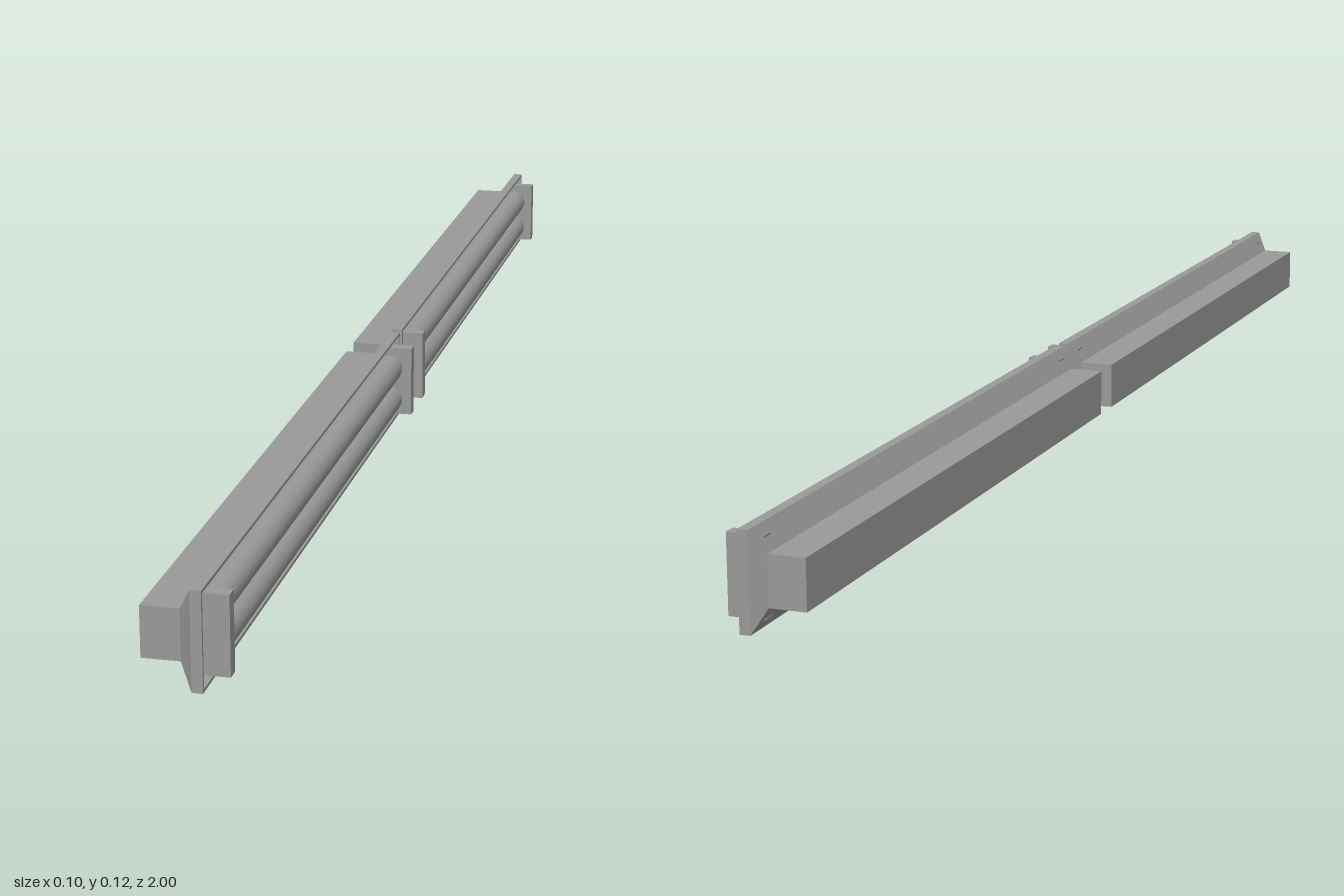
import * as THREE from 'three';

const metal = new THREE.MeshStandardMaterial({ color: 0x999999, side: THREE.DoubleSide });
metal.name = 'grey metal';

const MID_Y = 0.061;      // height of the fixture axis
const HALF_LENGTH = 0.4965;

function part(name, geometry, x, y, z) {
  const mesh = new THREE.Mesh(geometry, metal);
  mesh.name = name;
  mesh.position.set(x, y, z);
  return mesh;
}

// Open tray: rectangular rings [x, half height, half length] joined by flat walls
function trayGeometry(rings) {
  const corners = rings.map(([x, h, l]) => [[x, -h, -l], [x, h, -l], [x, h, l], [x, -h, l]]);
  const points = [];
  const quad = (a, b, c, d) => points.push(...a, ...b, ...c, ...a, ...c, ...d);
  for (let i = 0; i < rings.length - 1; i++) {
    for (let k = 0; k < 4; k++) {
      const n = (k + 1) % 4;
      quad(corners[i][k], corners[i + 1][k], corners[i + 1][n], corners[i][n]);
    }
  }
  quad(...corners[0]); // reflector floor
  const geometry = new THREE.BufferGeometry();
  geometry.setAttribute('position', new THREE.Float32BufferAttribute(points, 3));
  geometry.computeVertexNormals();
  return geometry;
}

function createFixture() {
  const fixture = new THREE.Group();
  fixture.name = 'lightFixture';

  // Ballast housing at the back
  fixture.add(part('housing', new THREE.BoxGeometry(0.046, 0.062, 0.963), -0.027, MID_Y, 0));

  // Flared reflector with an upright rim and a narrow inner lip
  const tray = trayGeometry([
    [-0.004, 0.031, 0.4815],
    [0.012, 0.06, HALF_LENGTH],
    [0.025, 0.06, HALF_LENGTH],
    [0.025, 0.056, HALF_LENGTH - 0.004],
    [0.012, 0.056, HALF_LENGTH - 0.004],
  ]);
  fixture.add(part('reflectorTray', tray, 0, MID_Y, 0));

  // Tube holders at both ends
  for (const side of [-1, 1]) {
    fixture.add(part('tubeHolder', new THREE.BoxGeometry(0.046, 0.097, 0.017), 0.027, MID_Y, side * 0.465));
  }

  // Pair of round-ended lamp tubes
  for (const side of [-1, 1]) {
    const tube = new THREE.CapsuleGeometry(0.019, 0.882, 6, 20);
    tube.rotateX(Math.PI / 2);
    fixture.add(part('lampTube', tube, 0.021, MID_Y + side * 0.0225, 0));
  }
  return fixture;
}

export function createModel() {
  const model = new THREE.Group();
  model.name = 'tubeLights';
  // Two fixtures in line, end to end with a small gap
  for (const side of [-1, 1]) {
    const fixture = createFixture();
    fixture.position.z = side * (1 - HALF_LENGTH);
    model.add(fixture);
  }
  return model;
}
